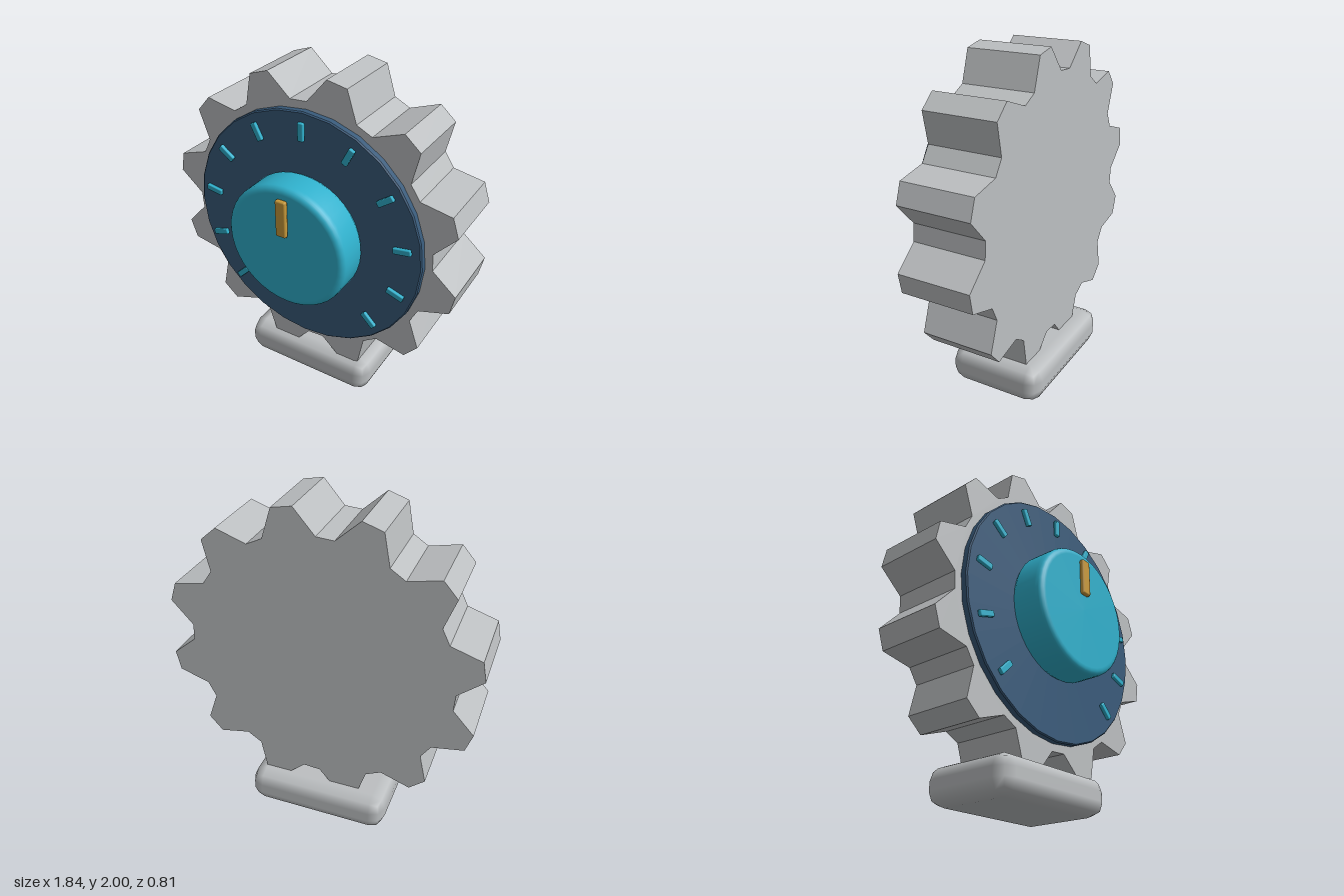
import * as THREE from 'three';
import { RoundedBoxGeometry } from 'three/addons/geometries/RoundedBoxGeometry.js';

const CY = 1.08; // height of the dial axis

function material(name, color) {
  const m = new THREE.MeshStandardMaterial({ color });
  m.name = name;
  return m;
}

// Lathe around the z axis; profile points are [radius, z], back to front
function turned(profile, sides) {
  const pts = profile.map(([r, z]) => new THREE.Vector2(r, z));
  return new THREE.LatheGeometry(pts, sides).rotateX(Math.PI / 2);
}

export function createModel() {
  const group = new THREE.Group();
  const grey = material('grey metal', 0xbcbfc1);
  const navy = material('navy face', 0x385a7a);
  const teal = material('teal', 0x2fb0cc);
  const gold = material('gold', 0xc8993a);

  function add(name, geometry, mat, x, y, z) {
    const mesh = new THREE.Mesh(geometry, mat);
    mesh.name = name;
    mesh.position.set(x, y, z);
    group.add(mesh);
    return mesh;
  }

  // Foot: soft block with single-step rounding
  add('foot', new RoundedBoxGeometry(0.87, 0.226, 0.59, 1, 0.085), grey, 0, 0.114, -0.108);

  // Gear: twelve teeth, each a root, two tip corners and a root
  const outline = [];
  for (let i = 0; i < 48; i++) {
    const a = THREE.MathUtils.degToRad(i * 7.5);
    const r = i % 4 === 1 || i % 4 === 2 ? 0.928 : 0.778;
    outline.push(new THREE.Vector2(Math.sin(a) * r, Math.cos(a) * r));
  }
  const gear = new THREE.ExtrudeGeometry(new THREE.Shape(outline), { depth: 0.429, bevelEnabled: false });
  add('gear', gear, grey, 0, CY, -0.296);

  // Face plate with a slight edge bevel
  const plate = turned([[0, 0], [0.735, 0], [0.735, 0], [0.735, 0.033], [0.735, 0.033],
    [0.728, 0.04], [0.728, 0.04], [0, 0.04]], 28);
  add('facePlate', plate, navy, 0, CY, 0.133);

  // Knob with a rounded front rim
  const profile = [[0.37, 0], [0.382, 0.02], [0.382, 0.155]];
  for (let i = 1; i <= 5; i++) {
    const a = (i / 5) * Math.PI / 2;
    profile.push([0.346 + 0.036 * Math.cos(a), 0.166 + 0.036 * Math.sin(a)]);
  }
  profile.push([0.34, 0.202], [0, 0.202]);
  add('knob', turned(profile, 40), teal, 0, CY, 0.173);

  // Pointer on the knob
  add('pointer', new RoundedBoxGeometry(0.066, 0.224, 0.03, 1, 0.01), gold, 0, 1.283, 0.389);

  // Eleven tick marks around the face
  const tickGeometry = new RoundedBoxGeometry(0.036, 0.106, 0.024, 1, 0.006);
  for (let i = -5; i <= 5; i++) {
    const a = THREE.MathUtils.degToRad(27 * i);
    const tick = add('tickMark', tickGeometry, teal, Math.sin(a) * 0.628, CY + Math.cos(a) * 0.628, 0.188);
    tick.rotation.z = -a;
  }
  return group;
}
